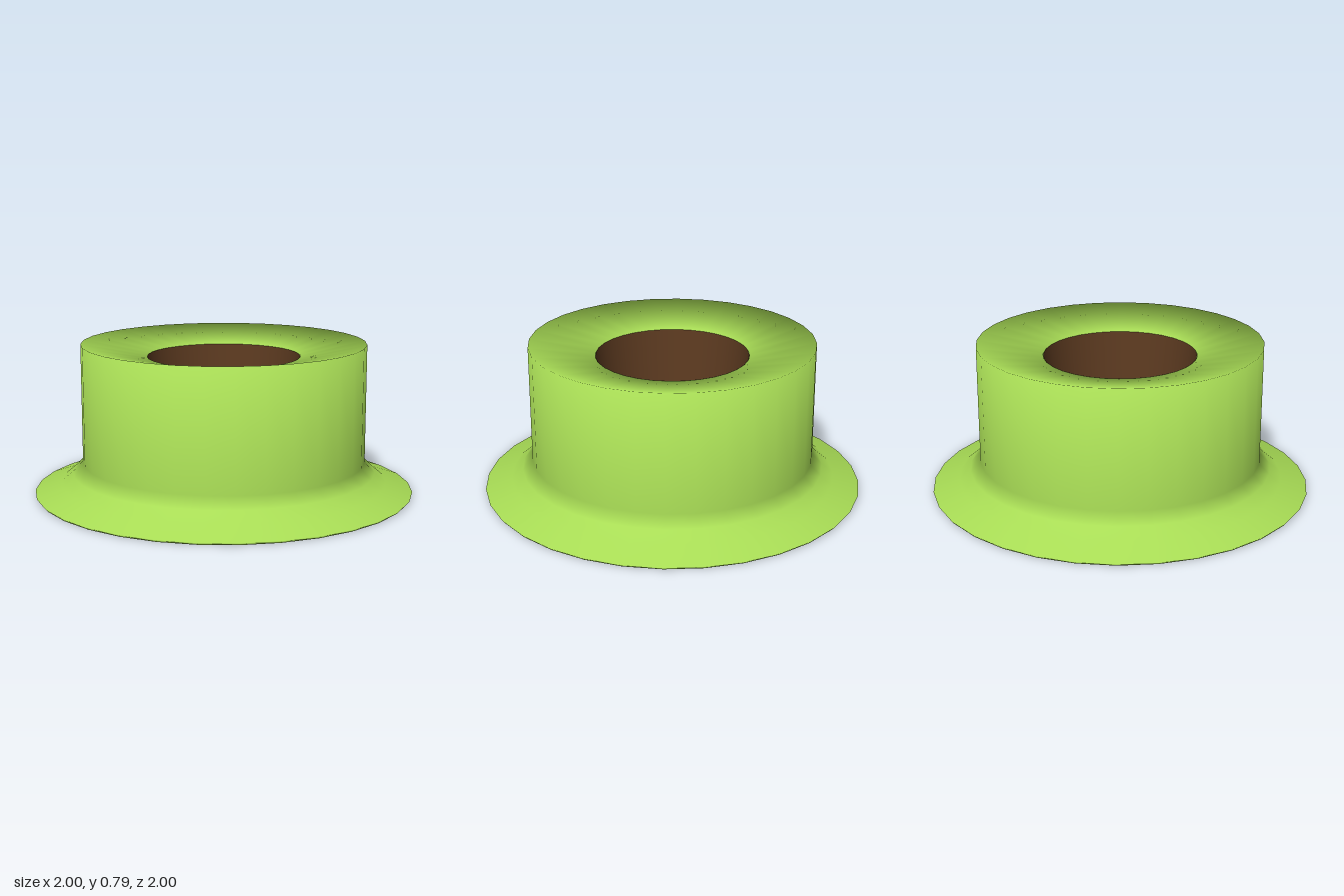
import * as THREE from 'three';

const SEGMENTS = 32;

// Revolves a list of [radius, height] points around the vertical axis
function revolve(name, points, color, side = THREE.FrontSide) {
  const profile = points.map(([r, y]) => new THREE.Vector2(r, y));
  const mesh = new THREE.Mesh(
    new THREE.LatheGeometry(profile, SEGMENTS),
    new THREE.MeshStandardMaterial({ color, side })
  );
  mesh.name = name;
  return mesh;
}

export function createModel() {
  const model = new THREE.Group();
  model.name = 'flangedBushing';

  // Closed, softly shaded body: bore, hollow underside, flared flange, straight wall, dished top
  model.add(revolve('body', [
    [0.373, 0.4],
    [0.335, 0.035],
    [0.99, 0],
    [1, 0.012],
    [0.86, 0.06],
    [0.8, 0.11],
    [0.747, 0.165],
    [0.747, 0.79],
    [0.402, 0.72],
    [0.373, 0.4],
  ], 0xa8dc55));

  // Tapered bore lining with a short straight collar at the bottom
  model.add(revolve('boreLining', [
    [0.4, 0.72],
    [0.332, 0.1],
    [0.33, 0.033],
  ], 0x5c3a20, THREE.DoubleSide));

  return model;
}
